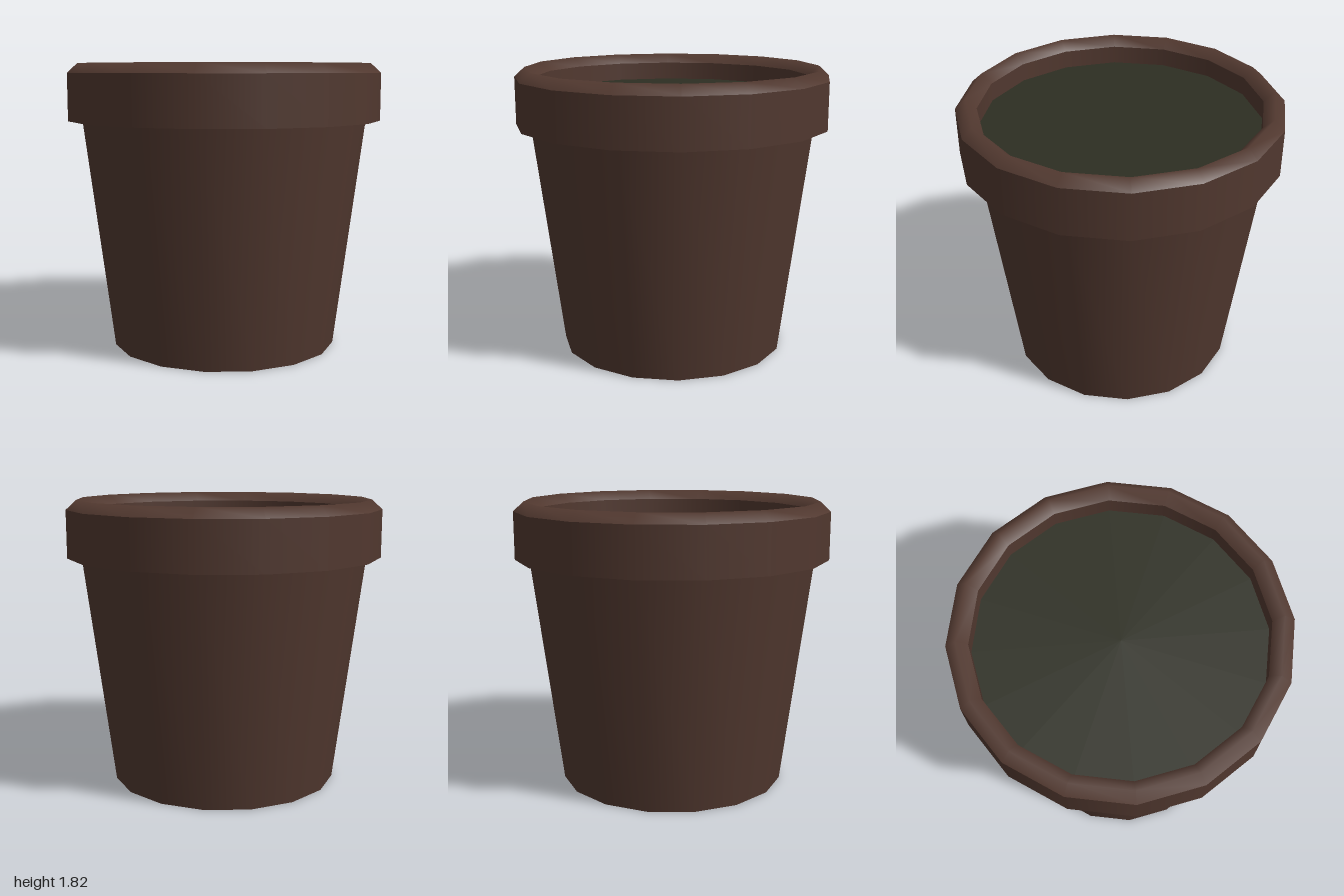
import * as THREE from 'three';

const SIDES = 16;

export function createModel() {
  const pot = new THREE.Group();
  pot.name = 'flowerPot';

  const clay = new THREE.MeshStandardMaterial({ color: 0x51382f });
  clay.name = 'brown clay';
  const earth = new THREE.MeshStandardMaterial({ color: 0x2d2e22 });
  earth.name = 'dark soil';

  // Each profile is a smooth band; separate bands keep the edges between them sharp
  const band = (name, material, ...profile) => {
    const points = profile.map(([r, y]) => new THREE.Vector2(r, y));
    const mesh = new THREE.Mesh(new THREE.LatheGeometry(points, SIDES), material);
    mesh.name = name;
    pot.add(mesh);
  };

  // Pot body with its drainage hole
  band('base', clay, [0.11, 0], [0.725, 0]);
  band('body', clay, [0.725, 0], [0.91, 1.46]);

  // Overhanging rim with a bevelled lip
  band('rimUnderside', clay, [0.91, 1.46], [1, 1.46]);
  band('rimSide', clay, [1, 1.46], [1, 1.76]);
  band('rimLip', clay, [1, 1.76], [0.935, 1.82], [0.87, 1.76]);
  band('innerWall', clay, [0.87, 1.76], [0.87, 1.63]);

  // Soil surface, and the soil seen through the drainage hole
  band('soilTop', earth, [0.87, 1.645], [0, 1.645]);
  band('drainHoleWall', earth, [0.11, 0.065], [0.11, 0]);
  band('soilUnderside', earth, [0, 0.065], [0.11, 0.065]);

  return pot;
}
